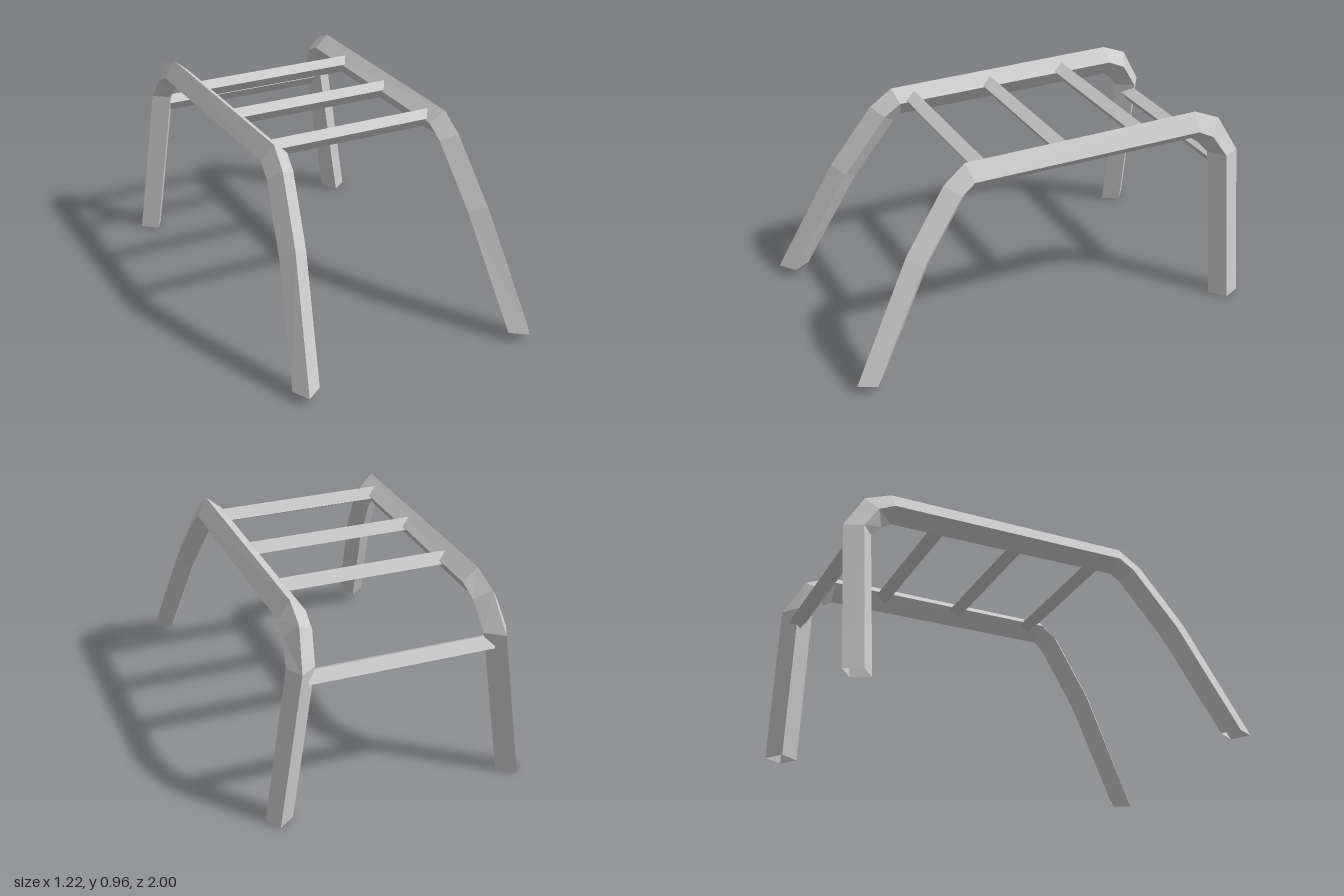
import * as THREE from 'three';

const material = new THREE.MeshStandardMaterial({ color: 0xcccccc, flatShading: true, side: THREE.DoubleSide });

// Bent rail profiles as [z, y], from the front foot over the top to the rear foot
const RIDGE = [[1, 0.04], [0.717, 0.588], [0.513, 0.877], [0.406, 0.957], [-0.77, 0.962], [-0.898, 0.909], [-1, 0.733], [-1, 0]];
const UNDER = [[0.86, 0.04], [0.605, 0.513], [0.405, 0.793], [0.364, 0.823], [-0.765, 0.819], [-0.807, 0.79], [-0.857, 0.733], [-0.857, 0]];

// Four long edges: fraction from ridge to underside, x and y along the flat top
const EDGES = [
  { t: 0, x: 0.435, y: 0.957 },
  { t: 0.59, x: 0.487, y: 0.88 },
  { t: 1, x: 0.42, y: 0.823 },
  { t: 0.42, x: 0.365, y: 0.898 },
];
const SPLAY = 0.142; // outward lean of the legs per unit of height

// One open four-sided tube forming front leg, top rail and rear leg
function railGeometry(side) {
  const positions = [], indices = [];
  RIDGE.forEach(([z0, y0], i) => {
    const [z1, y1] = UNDER[i];
    for (const e of EDGES) {
      const y = y0 + (y1 - y0) * e.t;
      const z = z0 + (z1 - z0) * e.t;
      positions.push(side * Math.min(0.61, e.x + SPLAY * (e.y - y)), y, z);
    }
  });
  for (let i = 0; i < RIDGE.length - 1; i++) {
    for (let j = 0; j < 4; j++) {
      const a = i * 4 + j, b = i * 4 + (j + 1) % 4, c = a + 4, d = b + 4;
      if (side > 0) indices.push(a, b, c, b, d, c);
      else indices.push(a, c, b, b, c, d);
    }
  }
  const geometry = new THREE.BufferGeometry();
  geometry.setAttribute('position', new THREE.Float32BufferAttribute(positions, 3));
  geometry.setIndex(indices);
  geometry.computeVertexNormals();
  return geometry;
}

// Slightly tilted diamond bar running along x
function rungGeometry(halfLength) {
  const section = new THREE.Shape([
    new THREE.Vector2(0.01, 0.038),
    new THREE.Vector2(-0.045, 0.011),
    new THREE.Vector2(-0.01, -0.038),
    new THREE.Vector2(0.045, -0.011),
  ]);
  return new THREE.ExtrudeGeometry(section, { depth: halfLength * 2, bevelEnabled: false })
    .translate(0, 0, -halfLength)
    .rotateY(Math.PI / 2);
}

export function createModel() {
  const group = new THREE.Group();
  group.name = 'climbingFrame';

  const add = (name, geometry, y = 0, z = 0) => {
    const mesh = new THREE.Mesh(geometry, material);
    mesh.name = name;
    mesh.position.set(0, y, z);
    group.add(mesh);
  };

  // Side rails with their legs
  add('leftRail', railGeometry(1));
  add('rightRail', railGeometry(-1));

  // Three rungs across the top, one lower between the rear legs
  [-0.5, -0.1, 0.307].forEach((z, i) => add(`topRung${i + 1}`, rungGeometry(0.41), 0.897, z));
  add('rearRung', rungGeometry(0.43), 0.677, -0.928);

  return group;
}
